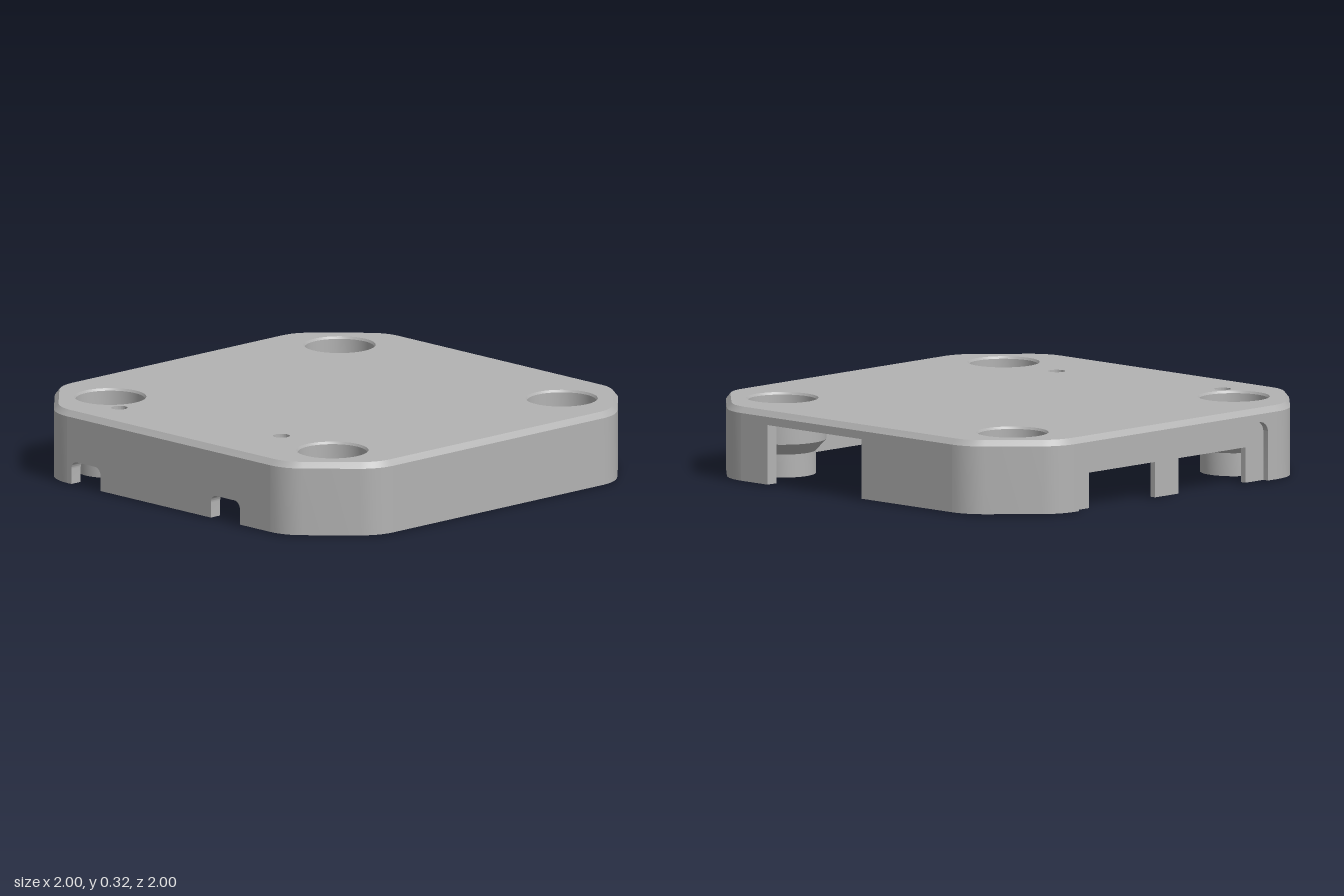
import * as THREE from 'three';
import { toCreasedNormals } from 'three/addons/utils/BufferGeometryUtils.js';

const BASE = 0.006, WALL_TOP = 0.3, TOP = 0.325, CEILING = 0.265;
const WALL = 0.056, BEVEL = 0.02, FILLET = 0.2;
const NEAR = 0.627, FAR = 0.8; // centres of the corner fillets
const POST = 0.685;            // screw post offset from the middle

// Points of one clipped corner (first quadrant), set in from the outside
function cornerPoints(inset) {
  const pts = [], r = FILLET - inset;
  for (const [cx, cy, start] of [[FAR, NEAR, 0], [NEAR, FAR, Math.PI / 4]]) {
    for (let i = 0; i <= 6; i++) {
      const a = start + (i / 6) * Math.PI / 4;
      pts.push(new THREE.Vector2(cx + r * Math.cos(a), cy + r * Math.sin(a)));
    }
  }
  return pts;
}

// Whole plan outline, counter-clockwise
function outline(inset) {
  const pts = [];
  for (let q = 0; q < 4; q++) {
    for (const p of cornerPoints(inset)) pts.push(p.rotateAround(new THREE.Vector2(), q * Math.PI / 2));
  }
  return pts;
}

// Plan shape pulled upward from y0 to y1
function extrudeUp(shape, y0, y1) {
  const g = new THREE.ExtrudeGeometry(shape, { depth: y1 - y0, bevelEnabled: false, curveSegments: 24 });
  g.rotateX(-Math.PI / 2).translate(0, y0, 0);
  return toCreasedNormals(g, 0.5);
}

// Straight wall with openings [from, to, height, corner radius] along its lower edge
function wallPanel(cuts, thickness, distance, angle) {
  const s = new THREE.Shape();
  s.moveTo(-NEAR, BASE);
  for (const [a, b, h, r] of cuts) {
    s.lineTo(a, BASE);
    s.lineTo(a, h - r);
    if (r > 0) s.absarc(a + r, h - r, r, Math.PI, Math.PI / 2, true);
    s.lineTo(b - r, h);
    if (r > 0) s.absarc(b - r, h - r, r, Math.PI / 2, 0, true);
    s.lineTo(b, BASE);
  }
  s.lineTo(NEAR, BASE);
  s.lineTo(NEAR, WALL_TOP);
  s.lineTo(-NEAR, WALL_TOP);
  s.closePath();
  const g = new THREE.ExtrudeGeometry(s, { depth: thickness, bevelEnabled: false, curveSegments: 8 });
  g.translate(0, 0, distance - thickness).rotateY(angle);
  return toCreasedNormals(g, 0.5);
}

// Sloping band around the top edge
function bevelBand() {
  const low = outline(0), high = outline(BEVEL), n = low.length;
  const pos = [], index = [];
  for (let i = 0; i < n; i++) {
    pos.push(low[i].x, WALL_TOP, -low[i].y, high[i].x, TOP, -high[i].y);
    const a = 2 * i, b = 2 * ((i + 1) % n);
    index.push(a, b, b + 1, a, b + 1, a + 1);
  }
  const g = new THREE.BufferGeometry();
  g.setAttribute('position', new THREE.Float32BufferAttribute(pos, 3));
  g.setIndex(index);
  return toCreasedNormals(g, 0.5);
}

export function createModel() {
  const model = new THREE.Group();
  const grey = new THREE.MeshStandardMaterial({ color: 0xb3b3b3 });
  grey.name = 'matte grey';
  const add = (name, geometry) => {
    const mesh = new THREE.Mesh(geometry, grey);
    mesh.name = name;
    model.add(mesh);
    return mesh;
  };

  // Top plate with four screw bores and two pin holes
  const plate = new THREE.Shape(outline(BEVEL));
  const hole = (x, z, r) => plate.holes.push(new THREE.Path().absarc(x, -z, r, 0, Math.PI * 2, true));
  const corners = [[1, 1], [1, -1], [-1, -1], [-1, 1]];
  for (const [sx, sz] of corners) hole(sx * POST, sz * POST, 0.155);
  hole(-0.8, -0.51, 0.035);
  hole(-0.66, 0.345, 0.036);
  add('topPlate', extrudeUp(plate, CEILING, TOP));
  add('topBevel', bevelBand());

  // Clipped corner walls
  const cornerPlan = new THREE.Shape([...cornerPoints(0), ...cornerPoints(WALL).reverse()]);
  const cornerGeometry = extrudeUp(cornerPlan, BASE, WALL_TOP);
  for (let q = 0; q < 4; q++) add('cornerWall', cornerGeometry).rotation.y = q * Math.PI / 2;

  // Straight walls: plain front, one wide port, two cable notches
  add('frontWall', wallPanel([], WALL, 1, 0));
  add('leftWall', wallPanel([[-0.47, 0.09, CEILING, 0]], WALL, 1, Math.PI / 2));
  add('rightWall', wallPanel([[-0.6, -0.42, 0.107, 0.035], [0.26, 0.44, 0.107, 0.035]], WALL, 1, -Math.PI / 2));

  // Back wall in two layers: a recessed frame over a panel with two ports
  add('backFrame', wallPanel([[-0.6, 0.57, CEILING, 0.05]], WALL / 2, 1, Math.PI));
  add('backPanel', wallPanel([[-0.51, -0.1, 0.16, 0], [0.045, 0.46, 0.16, 0]], WALL / 2, 1 - WALL / 2, Math.PI));

  // Hollow stepped screw posts
  const profile = [
    [0.082, 0], [0.145, 0], [0.145, 0.1], [0.19, 0.15], [0.19, 0.275],
    [0.155, TOP], [0.149, 0.315], [0.149, 0.12], [0.082, 0.12], [0.082, 0],
  ].map(([r, y]) => new THREE.Vector2(r, y));
  const postGeometry = toCreasedNormals(new THREE.LatheGeometry(profile, 48), 0.5);
  for (const [sx, sz] of corners) add('screwPost', postGeometry).position.set(sx * POST, 0, sz * POST);

  return model;
}
